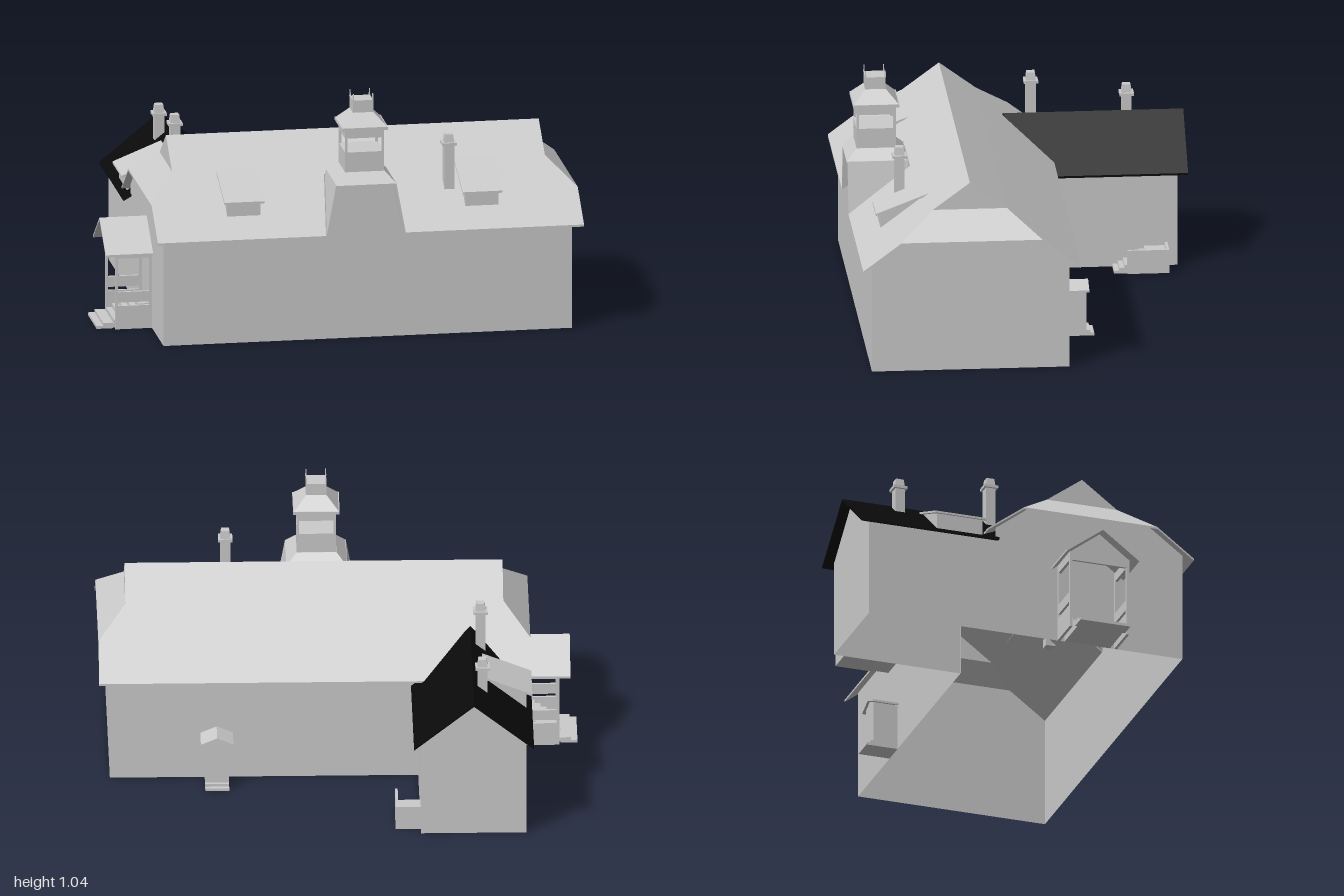
import * as THREE from 'three';

const grey = new THREE.MeshStandardMaterial({ color: 0xcccccc, flatShading: true, side: THREE.DoubleSide });
const black = new THREE.MeshStandardMaterial({ color: 0x0a0a0a, flatShading: true, side: THREE.DoubleSide });

export function createModel() {
  const root = new THREE.Group();
  let parent = root;

  const group = (name) => {
    parent = new THREE.Group();
    parent.name = name;
    root.add(parent);
    return parent;
  };
  const add = (name, geo, mat = grey) => {
    const m = new THREE.Mesh(geo, mat);
    m.name = name;
    parent.add(m);
    return m;
  };
  // box from its limits
  const box = (name, x0, x1, y0, y1, z0, z1) =>
    add(name, new THREE.BoxGeometry(x1 - x0, y1 - y0, z1 - z0)
      .translate((x0 + x1) / 2, (y0 + y1) / 2, (z0 + z1) / 2));

  // flat polygon in space; with an offset it becomes a solid plate
  const plate = (name, pts, offset, mat) => {
    const P = pts.map((p) => new THREE.Vector3(...p));
    const n = new THREE.Vector3();
    P.forEach((p, i) => n.add(p.clone().cross(P[(i + 1) % P.length])));
    const a = [Math.abs(n.x), Math.abs(n.y), Math.abs(n.z)];
    const k = a.indexOf(Math.max(...a));
    const flat = P.map((p) => (k === 0 ? new THREE.Vector2(p.y, p.z)
      : k === 1 ? new THREE.Vector2(p.z, p.x) : new THREE.Vector2(p.x, p.y)));
    const tris = THREE.ShapeUtils.triangulateShape(flat, []);
    const out = [];
    const put = (...vs) => vs.forEach((v) => out.push(v.x, v.y, v.z));
    tris.forEach(([i, j, l]) => put(P[i], P[j], P[l]));
    if (offset) {
      const o = new THREE.Vector3(...offset);
      const Q = P.map((p) => p.clone().add(o));
      tris.forEach(([i, j, l]) => put(Q[l], Q[j], Q[i]));
      P.forEach((p, i) => {
        const j = (i + 1) % P.length;
        put(p, Q[i], Q[j], p, Q[j], P[j]);
      });
    }
    const g = new THREE.BufferGeometry();
    g.setAttribute('position', new THREE.Float32BufferAttribute(out, 3));
    g.computeVertexNormals();
    return add(name, g, mat);
  };

  // square block whose half width changes from bottom to top
  const taper = (name, x, z, y0, y1, r0, r1) => {
    const g = new THREE.BoxGeometry(2, y1 - y0, 2);
    const p = g.attributes.position;
    for (let i = 0; i < p.count; i++) {
      const r = p.getY(i) < 0 ? r0 : r1;
      p.setXYZ(i, x + p.getX(i) * r, p.getY(i) + (y0 + y1) / 2, z + p.getZ(i) * r);
    }
    g.computeVertexNormals();
    return add(name, g);
  };

  // main walls, open underneath
  group('mainWalls');
  plate('frontWall', [[-.77, 0, .69], [.955, 0, .69], [.955, .475, .69], [.235, .475, .69], [.2, .665, .69],
    [-.04, .665, .69], [-.075, .475, .69], [-.77, .475, .69]]);
  plate('backWall', [[-.335, 0, -.135], [.955, 0, -.135], [.955, .475, -.135], [-.335, .475, -.135]]);
  for (const x of [-.77, .955]) {
    plate('gableWall', [[x, 0, .69], [x, 0, -.135], [x, .475, -.135], [x, .59, .015], [x, .59, .535], [x, .475, .69]]);
  }

  // main roof with clipped ends and a notch for the tower
  group('mainRoof');
  const down = [0, -.009, 0];
  const ends = [[-.69, .68, .43], [-.8, .575, .57]];
  const right = [[1, .575, .57], [.885, .68, .43], [.885, .795, .275], [-.69, .795, .275]];
  plate('frontSlope', [[-.8, .455, .73], [-.09, .455, .73], [-.055, .65, .47], [.215, .65, .47], [.245, .455, .73],
    [1, .455, .73], ...right, ...ends], down);
  const back = ([x, y, z]) => [x, y, .55 - z];
  plate('backSlope', [[-.8, .455, .73], [1, .455, .73], ...right, ...ends].map(back), down);
  for (const [xo, xi] of [[-.8, -.69], [1, .885]]) {
    plate('endHip', [[xo, .575, .57], [xo, .575, -.02], [xi, .68, .12], [xi, .68, .43]], down);
    plate('gablet', [[xi, .68, .43], [xi, .68, .12], [xi, .795, .275]]);
  }

  // bell tower over the front eave
  group('tower');
  const tx = .08, tz = .607;
  for (const s of [-1, 1]) {
    const a = tx + s * .167, b = tx + s * .127, c = tx + s * .132;
    plate('cheek', [[a, .455, .73], [b, .672, .73], [b, .672, .477], [c, .645, .477]], [-s * .009, 0, 0]);
  }
  plate('towerBack', [[-.055, .64, .478], [.215, .64, .478], [.207, .672, .478], [-.047, .672, .478]]);
  taper('skirtRoof', tx, tz, .67, .715, .127, .084);
  taper('shaft', tx, tz, .71, .8, .082, .082);
  taper('beam', tx, tz, .86, .897, .082, .082);
  taper('cornice', tx, tz, .895, .908, .097, .097);
  taper('capRoof', tx, tz, .908, .96, .093, .043);
  taper('lantern', tx, tz, .96, 1.012, .043, .043);
  for (const sx of [-1, 1]) for (const sz of [-1, 1]) {
    taper('post', tx + sx * .077, tz + sz * .077, .8, .86, .005, .005);
    taper('spike', tx + sx * .041, tz + sz * .041, 1.01, 1.04, .003, .002);
  }

  // chimneys: x, z, bottom, top
  for (const [x, z, y0, y1] of [[.46, .535, .57, .82], [-.59, -.1, .54, .78], [-.59, -.5, .54, .715]]) {
    group('chimney');
    taper('stack', x, z, y0, y1 - .04, .021, .021);
    taper('collar', x, z, y1 - .046, y1 - .034, .03, .03);
    taper('neck', x, z, y1 - .034, y1, .021, .017);
  }

  // shed dormers on the front
  for (const x of [-.421, .585]) {
    group('dormer');
    plate('dormerRoof', [[x - .084, .595, .65], [x + .084, .595, .65], [x + .084, .682, .425], [x - .084, .682, .425]], down);
    plate('dormerBody', [[x - .07, .53, .63], [x - .07, .595, .63], [x - .07, .672, .43]], [.14, 0, 0]);
  }

  // rear wing
  group('wing');
  plate('wingBackWall', [[-.77, 0, -.693], [-.77, .42, -.693], [-.55, .6, -.693], [-.33, .42, -.693], [-.33, 0, -.693]]);
  for (const x of [-.77, -.33]) {
    plate('wingSideWall', [[x, 0, -.693], [x, 0, -.135], [x, .42, -.135], [x, .42, -.693]]);
  }
  for (const s of [-1, 1]) {
    const e = -.55 + s * .25;
    plate('wingRoof', [[e, .412, -.735], [-.55, .612, -.735], [-.55, .612, .02], [e, .412, -.135]], down, black);
  }
  plate('wingDormerRoof', [[-.8, .5, -.41], [-.8, .5, -.18], [-.595, .582, -.18], [-.595, .582, -.41]], down);
  plate('wingDormerBody', [[-.775, .43, -.395], [-.775, .5, -.395], [-.6, .572, -.395]], [0, 0, .2]);

  // side porch with stairs
  group('sidePorch');
  for (const s of [-1, 1]) {
    const z = .27 + s * .125;
    plate('porchRoof', [[-.97, .33, .27 + s * .16], [-.97, .45, .27], [-.77, .45, .27], [-.77, .33, .27 + s * .16]], down);
    box('porchBase', -.925, -.77, 0, .1, z - .006, z + .006);
    box('railing', -.925, -.77, .115, .16, z - .006, z + .006);
    box('sideBeam', -.925, -.77, .305, .345, z - .006, z + .006);
    for (const x of [-.919, -.776]) box('porchPost', x - .006, x + .006, 0, .34, z - .006, z + .006);
  }
  plate('porchGable', [[-.925, .305, .145], [-.925, .305, .395], [-.925, .345, .395], [-.925, .44, .27], [-.925, .345, .145]], [.01, 0, 0]);
  for (let i = 0; i < 6; i++) box('stair', -.95 + i * .025, -.77, i * .0165, (i + 1) * .0165, .17, .37);
  box('bottomStep', -1, -.93, 0, .012, .16, .38);
  box('secondStep', -.972, -.93, .012, .024, .16, .38);

  // small rear entry
  group('rearEntry');
  plate('entryBody', [[.46, 0, -.135], [.46, .2, -.135], [.51, .222, -.135], [.56, .2, -.135], [.56, 0, -.135]], [0, 0, -.105]);
  for (const s of [-1, 1]) {
    plate('entryRoof', [[.51, .233, -.135], [.51, .233, -.25], [.51 + s * .068, .204, -.25], [.51 + s * .068, .204, -.135]], down);
  }
  box('entryStep', .46, .56, 0, .024, -.255, -.24);
  box('entryLowStep', .46, .56, 0, .012, -.272, -.24);

  // stair along the wing
  group('wingStair');
  for (let i = 0; i < 7; i++) box('wingStep', -.33, -.235, i * .0125, (i + 1) * .0125, -.65, -.42 - i * .022);
  box('parapet', -.237, -.225, 0, .102, -.65, -.475);
  box('endParapet', -.33, -.225, 0, .102, -.65, -.638);

  return root;
}
